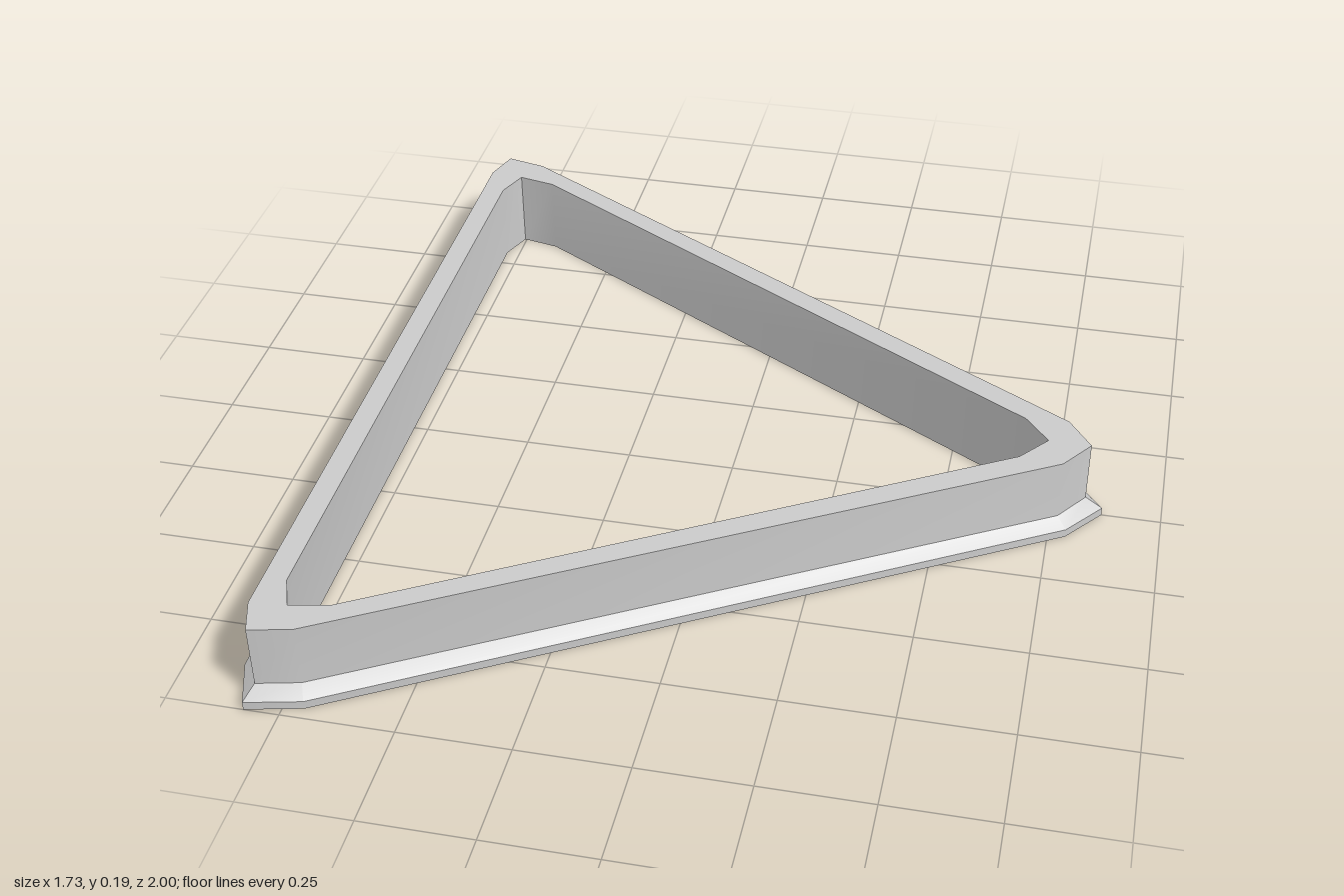
import * as THREE from 'three';
import { toCreasedNormals } from 'three/addons/utils/BufferGeometryUtils.js';

// Triangular outline with bevelled corners: tip on +x, half given, mirrored in z
function outline(tip, half) {
  const mirrored = half.map(([x, z]) => [x, -z]).reverse();
  return [[tip, 0], ...half, ...mirrored];
}

const flangeLine = outline(0.865, [[0.79, 0.095], [-0.705, 0.972], [-0.828, 1], [-0.865, 0.89]]);
const wallLine = outline(0.825, [[0.768, 0.08], [-0.715, 0.944], [-0.81, 0.966], [-0.836, 0.885]]);
const innerLine = outline(0.728, [[0.67, 0.072], [-0.664, 0.857], [-0.754, 0.876], [-0.783, 0.802]]);

// Skins a closed loop of [outline, height] rings
function skin(rings) {
  const n = rings[0][0].length, positions = [], index = [];
  for (const [line, y] of rings) for (const [x, z] of line) positions.push(x, y, z);
  for (let i = 0; i < rings.length; i++) {
    const lower = i * n, upper = ((i + 1) % rings.length) * n;
    for (let k = 0; k < n; k++) {
      const m = (k + 1) % n;
      index.push(lower + k, upper + k, lower + m, lower + m, upper + k, upper + m);
    }
  }
  const geometry = new THREE.BufferGeometry();
  geometry.setAttribute('position', new THREE.Float32BufferAttribute(positions, 3));
  geometry.setIndex(index);
  return toCreasedNormals(geometry, 0.6);
}

export function createModel() {
  const group = new THREE.Group();
  group.name = 'triangularFrame';
  // Base lip, chamfer, upright wall, flat rim and inner wall in one ring
  const frame = new THREE.Mesh(
    skin([
      [flangeLine, 0],
      [flangeLine, 0.02],
      [wallLine, 0.046],
      [wallLine, 0.194],
      [innerLine, 0.194],
      [innerLine, 0],
    ]),
    new THREE.MeshStandardMaterial({ color: 0xcccccc })
  );
  frame.name = 'flangedWall';
  group.add(frame);
  return group;
}
